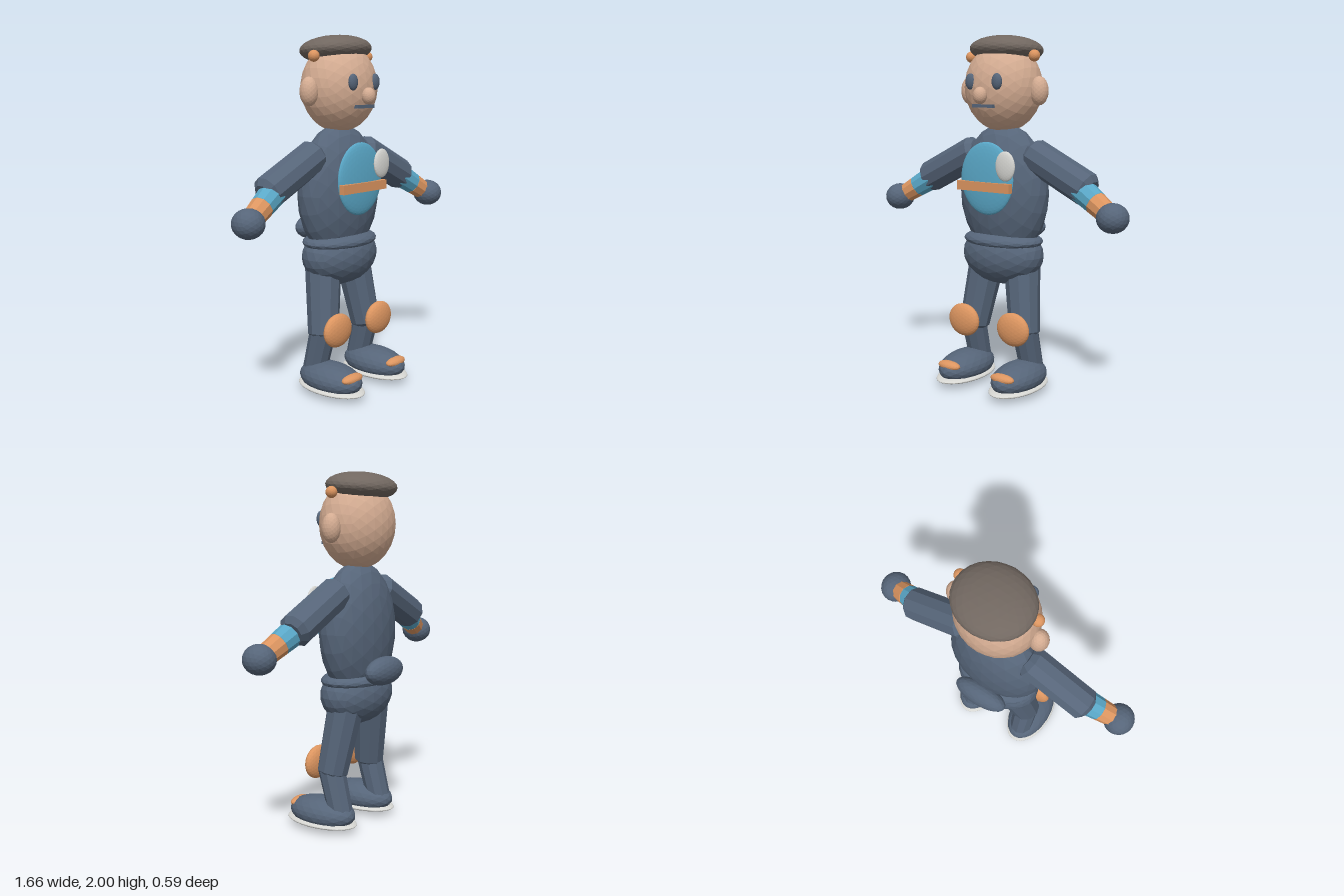
import * as THREE from 'three';

const paint = (name, color) => {
  const m = new THREE.MeshStandardMaterial({ color });
  m.name = name;
  return m;
};

export function createModel() {
  const suit = paint('slate suit', 0x566579);
  const skin = paint('skin', 0xd4ac92);
  const orange = paint('orange', 0xdc9560);
  const blue = paint('light blue', 0x5aa8c8);
  const felt = paint('cap brown', 0x716760);
  const white = paint('off white', 0xd6d6d2);

  const model = new THREE.Group();
  model.name = 'figure';

  // Adds a faceted mesh
  function add(name, geometry, material, position = [0, 0, 0]) {
    const flat = geometry.index ? geometry.toNonIndexed() : geometry;
    flat.computeVertexNormals();
    const mesh = new THREE.Mesh(flat, material);
    mesh.name = name;
    mesh.position.set(...position);
    model.add(mesh);
    return mesh;
  }

  // Faceted ellipsoid with three radii
  const blob = (name, material, position, radii, detail = 3) =>
    add(name, new THREE.IcosahedronGeometry(1, detail).scale(...radii), material, position);

  const block = (name, material, position, size) =>
    add(name, new THREE.BoxGeometry(...size), material, position);

  // Tapered limb with chamfered ends between two points
  function limb(name, material, from, to, r0, r1, chamfer = 0.03, sides = 10) {
    const a = new THREE.Vector3(...from);
    const axis = new THREE.Vector3(...to).sub(a);
    const length = axis.length();
    const profile = [
      [0, 0], [r0 - chamfer, 0], [r0, chamfer],
      [r1, length - chamfer], [r1 - chamfer, length], [0, length],
    ].map(([x, y]) => new THREE.Vector2(x, y));
    const mesh = add(name, new THREE.LatheGeometry(profile, sides), material, from);
    mesh.quaternion.setFromUnitVectors(new THREE.Vector3(0, 1, 0), axis.normalize());
    return mesh;
  }

  // Head and face
  blob('head', skin, [0, 1.715, -0.045], [0.228, 0.25, 0.205], 4);
  blob('nose', skin, [0, 1.67, 0.172], [0.04, 0.047, 0.038]);
  block('mouth', suit, [0, 1.613, 0.14], [0.136, 0.018, 0.03]);
  const cap = blob('cap', felt, [0, 1.922, -0.072], [0.216, 0.078, 0.19], 4);
  cap.rotation.x = -0.08;

  // Torso, waist and back pouch
  blob('torso', suit, [0, 1.125, -0.05], [0.288, 0.39, 0.168]);
  blob('belt', suit, [0, 0.85, -0.042], [0.252, 0.06, 0.172]);
  blob('pelvis', suit, [0, 0.765, -0.042], [0.258, 0.175, 0.174]);
  blob('backPouch', suit, [0, 0.91, -0.23], [0.163, 0.08, 0.066]);

  // Chest panel, stripe and badge
  blob('chestPanel', blue, [0, 1.212, 0.112], [0.18, 0.204, 0.03], 6);
  block('chestStripe', orange, [0, 1.169, 0.138], [0.36, 0.052, 0.034]);
  blob('badge', white, [0.148, 1.29, 0.143], [0.064, 0.083, 0.02], 4);

  for (const s of [1, -1]) {
    const side = s > 0 ? 'left' : 'right';
    const at = (x, y, z) => [s * x, y, z];

    // Eyes, ears and cap beads
    blob(side + 'Eye', suit, at(0.09, 1.745, 0.14), [0.032, 0.045, 0.021]);
    blob(side + 'Ear', skin, at(0.24, 1.695, -0.045), [0.052, 0.08, 0.052]);
    blob(side + 'CapBead', orange, at(0.217, 1.884, -0.03), [0.032, 0.032, 0.032]);

    // Arm, banded cuff and hand
    limb(side + 'UpperArm', suit, at(0.18, 1.358, -0.048), at(0.575, 1.163, -0.046), 0.094, 0.094);
    const elbow = new THREE.Vector3(...at(0.525, 1.175, -0.03));
    const wrist = new THREE.Vector3(...at(0.725, 1.055, 0.015));
    const bands = [['CuffBand', blue, 0, 0.5], ['Cuff', orange, 0.5, 0.92], ['WristBand', blue, 0.92, 1]];
    for (const [name, material, t0, t1] of bands) {
      const p = elbow.clone().lerp(wrist, t0).toArray();
      const q = elbow.clone().lerp(wrist, t1).toArray();
      limb(side + name, material, p, q, 0.073 - 0.016 * t0, 0.073 - 0.016 * t1, 0.001);
    }
    blob(side + 'Hand', suit, at(0.745, 1.047, 0.022), [0.086, 0.08, 0.09]);

    // Leg and knee pad
    limb(side + 'Thigh', suit, at(0.12, 0.74, -0.06), at(0.183, 0.315, 0), 0.105, 0.088, 0.02);
    limb(side + 'Shin', suit, at(0.185, 0.37, 0.005), at(0.188, 0.09, -0.07), 0.076, 0.07, 0.01);
    blob(side + 'KneePad', orange, at(0.175, 0.373, 0.104), [0.107, 0.096, 0.042], 4);

    // Shoe, sole and toe cap
    blob(side + 'Shoe', suit, at(0.19, 0.09, 0.062), [0.125, 0.09, 0.215]);
    blob(side + 'Sole', white, at(0.19, 0.04, 0.067), [0.13, 0.026, 0.228], 5);
    blob(side + 'ToeCap', orange, at(0.19, 0.124, 0.225), [0.076, 0.028, 0.038]);
  }
  return model;
}
